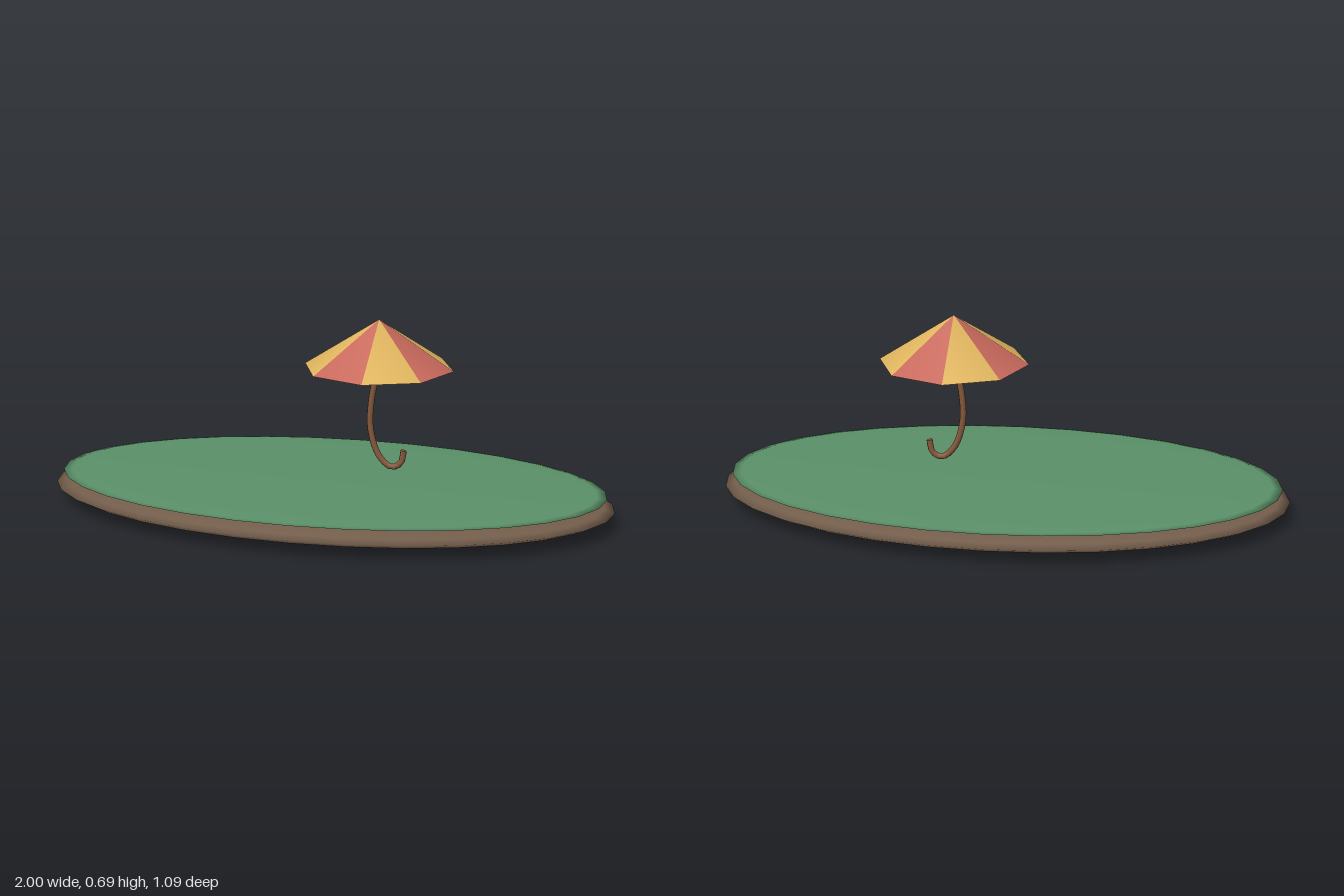
import * as THREE from 'three';

const material = (name, color, side = THREE.FrontSide) => {
  const m = new THREE.MeshStandardMaterial({ color, side });
  m.name = name;
  return m;
};

export function createModel() {
  const soil = material('soil brown', 0x735d4b);
  const grass = material('grass green', 0x5a9068);
  const wood = material('handle brown', 0x85583c);
  const yellow = material('canopy yellow', 0xdeb45e, THREE.DoubleSide);
  const red = material('canopy red', 0xc8695c, THREE.DoubleSide);

  const model = new THREE.Group();
  model.name = 'umbrellaIsland';
  const add = (name, geometry, mat, parent = model) => {
    const mesh = new THREE.Mesh(geometry, mat);
    mesh.name = name;
    parent.add(mesh);
    return mesh;
  };

  // Flattened ellipsoids: the island and its grass top
  const disc = (name, rx, ry, rz, y, mat) =>
    add(name, new THREE.SphereGeometry(1, 32, 12).scale(rx, ry, rz).translate(0, y, 0), mat);
  disc('islandBase', 1, 0.058, 0.545, 0.059, soil);
  disc('grassTop', 0.973, 0.018, 0.527, 0.104, grass);

  const umbrella = new THREE.Group();
  umbrella.name = 'umbrella';
  model.add(umbrella);

  // Eight-panel canopy in alternating colours
  const canopy = new THREE.ConeGeometry(0.262, 0.168, 8, 1, true);
  canopy.clearGroups();
  const perPanel = canopy.index.count / 8;
  for (let i = 0; i < 8; i++) canopy.addGroup(i * perPanel, perPanel, i % 2);
  add('canopy', canopy, [yellow, red], umbrella).position.set(0.175, 0.606, 0);

  // Bent shaft ending in a hook
  const points = [
    [0.178, 0.58], [0.171, 0.52], [0.149, 0.4], [0.147, 0.3], [0.178, 0.205],
    [0.222, 0.168], [0.255, 0.185], [0.265, 0.23],
  ].map(([x, y]) => new THREE.Vector3(x, y, 0));
  const curve = new THREE.CatmullRomCurve3(points);
  add('shaftAndHook', new THREE.TubeGeometry(curve, 28, 0.011, 8), wood, umbrella);

  // Flat ends closing the shaft
  [[0, -1], [1, 1]].forEach(([t, sign]) => {
    const cap = add('shaftEnd', new THREE.CircleGeometry(0.011, 8), wood, umbrella);
    cap.position.copy(curve.getPoint(t));
    cap.quaternion.setFromUnitVectors(
      new THREE.Vector3(0, 0, 1), curve.getTangent(t).multiplyScalar(sign));
  });

  return model;
}
